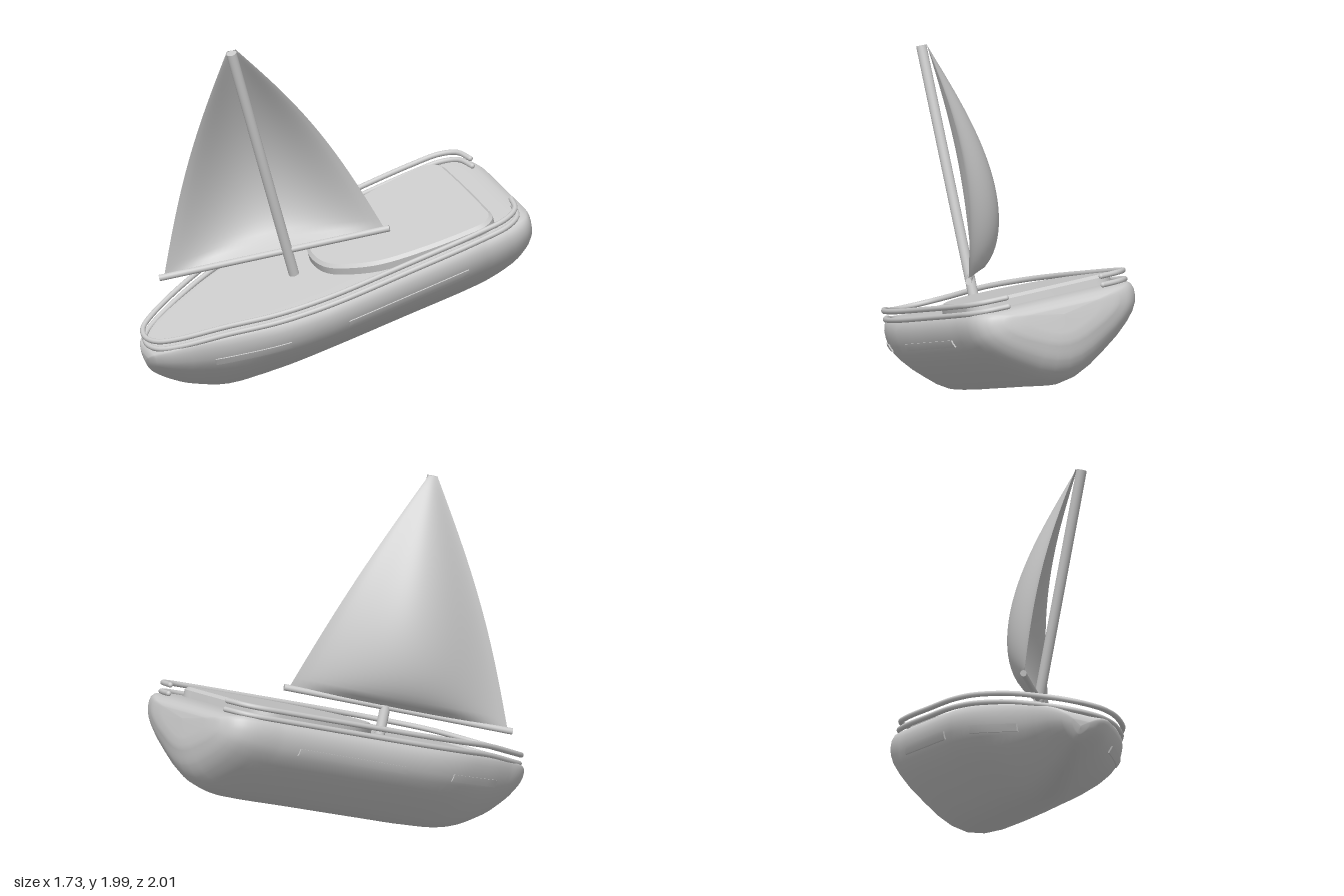
import * as THREE from 'three';
import { toCreasedNormals } from 'three/addons/utils/BufferGeometryUtils.js';

const V = (x, y, z) => new THREE.Vector3(x, y, z);
const grey = new THREE.MeshStandardMaterial({ color: 0xcccccc });
const thin = new THREE.MeshStandardMaterial({ color: 0xcccccc, side: THREE.DoubleSide });

function mesh(name, geometry, material = grey) {
  const m = new THREE.Mesh(geometry, material);
  m.name = name;
  return m;
}

// Hull stations from bow to stern: z, half width, keel height, deck height
const stations = [
  [0.962, 0, -0.125, -0.115], [0.955, 0.055, -0.165, -0.08], [0.93, 0.11, -0.21, -0.05],
  [0.86, 0.172, -0.28, -0.028], [0.76, 0.225, -0.355, -0.015], [0.55, 0.33, -0.45, -0.004],
  [0.28, 0.437, -0.475, 0], [0, 0.485, -0.48, 0], [-0.5, 0.497, -0.485, 0],
  [-0.95, 0.502, -0.488, 0], [-1.1, 0.5, -0.465, 0], [-1.19, 0.482, -0.42, -0.004],
  [-1.25, 0.44, -0.36, -0.016], [-1.285, 0.37, -0.29, -0.035], [-1.305, 0.25, -0.22, -0.06],
  [-1.31, 0, -0.11, -0.1],
];
// Half section: fraction of half width, fraction of depth below the deck
const section = [
  [0, 0], [0.5, 0], [0.88, 0], [0.94, 0.012], [0.98, 0.05], [1, 0.12], [1, 0.2], [0.98, 0.3],
  [0.93, 0.4], [0.84, 0.51], [0.7, 0.64], [0.52, 0.77], [0.34, 0.89], [0.17, 0.97], [0, 1],
];

// Smooth interpolation between stations (i is the span, t runs 0..1)
function blend(i, t) {
  const at = k => stations[Math.min(Math.max(k, 0), stations.length - 1)];
  const slope = (k, c) => {
    const a = at(k - 1), b = at(k + 1);
    return (b[c] - a[c]) / (b[0] - a[0]);
  };
  const a = at(i), b = at(i + 1), d = b[0] - a[0], t2 = t * t, t3 = t2 * t;
  const out = [a[0] + d * t];
  for (let c = 1; c < 4; c++) {
    out.push((2 * t3 - 3 * t2 + 1) * a[c] + (t3 - 2 * t2 + t) * d * slope(i, c)
      + (3 * t2 - 2 * t3) * b[c] + (t3 - t2) * d * slope(i + 1, c));
  }
  return out;
}

// Half width of the hull at a given z and height
function hullWidth(z, y) {
  let i = 0;
  while (i < stations.length - 2 && stations[i + 1][0] > z) i++;
  const [, w, k, top] = blend(i, (z - stations[i][0]) / (stations[i + 1][0] - stations[i][0]));
  const f = (top - y) / (top - k);
  let j = 0;
  while (j < section.length - 2 && section[j + 1][1] < f) j++;
  const [a, b] = [section[j], section[j + 1]];
  return w * THREE.MathUtils.lerp(a[0], b[0], (f - a[1]) / (b[1] - a[1]));
}

// Hull and deck as one closed skin of cross-sections
function hullGeometry() {
  const loop = [...section, ...section.slice(1, -1).reverse().map(([x, y]) => [-x, y])];
  const n = loop.length, pos = [], idx = [], steps = 4;
  const rows = [];
  for (let i = 0; i < stations.length - 1; i++)
    for (let k = 0; k < steps; k++) rows.push(blend(i, k / steps));
  rows.push(stations[stations.length - 1]);
  rows.forEach(([z, w, k, top], i) => {
    loop.forEach(([x, y]) => pos.push(x * w, top + (k - top) * y, z));
    if (i === rows.length - 1) return;
    for (let j = 0; j < n; j++) {
      const a = i * n + j, b = i * n + (j + 1) % n;
      idx.push(a, b, a + n, b, b + n, a + n);
    }
  });
  const g = new THREE.BufferGeometry();
  g.setAttribute('position', new THREE.Float32BufferAttribute(pos, 3));
  g.setIndex(idx);
  g.computeVertexNormals();
  return g;
}

// Window strip wrapped along the hull side
function windowGeometry(side, z0, z1) {
  const g = new THREE.BoxGeometry(0.018, 0.042, z1 - z0, 1, 2, 16);
  const p = g.attributes.position;
  for (let i = 0; i < p.count; i++) {
    const z = p.getZ(i) + (z0 + z1) / 2, y = p.getY(i) - 0.15;
    p.setXYZ(i, side * hullWidth(z, y) + p.getX(i), y, z);
  }
  return toCreasedNormals(g, 0.6);
}

// Round bar between two points
function bar(name, a, b, r) {
  const m = mesh(name, new THREE.CylinderGeometry(r, r, a.distanceTo(b), 20));
  m.position.copy(a).add(b).multiplyScalar(0.5);
  m.quaternion.setFromUnitVectors(V(0, 1, 0), b.clone().sub(a).normalize());
  return m;
}

// Guard rail running round the deck edge, dipping at the bow, open at the stern
function rail(name, y) {
  const half = [[0.29, -1.235], [0.41, -1.205], [0.47, -1.12], [0.488, -0.95], [0.486, -0.5],
    [0.472, -0.02], [0.42, 0.27], [0.305, 0.55], [0.18, 0.8], [0.1, 0.895]];
  const pts = [...half, [0, 0.925], ...half.slice().reverse().map(([x, z]) => [-x, z])]
    .map(([x, z]) => V(x, y - 0.085 * Math.max(0, z - 0.5), z));
  const g = new THREE.Group();
  g.name = name;
  g.add(mesh('railTube', new THREE.TubeGeometry(new THREE.CatmullRomCurve3(pts), 160, 0.015, 10)));
  for (const p of [pts[0], pts[pts.length - 1]]) {
    const cap = mesh('railEnd', new THREE.SphereGeometry(0.015, 10, 8));
    cap.position.copy(p);
    g.add(cap);
  }
  return g;
}

// Raised cabin roof with a rounded outline
function cabinGeometry() {
  const half = [[0.13, -0.165], [0.23, -0.25], [0.33, -0.4], [0.39, -0.65], [0.415, -0.9],
    [0.41, -1.01], [0.36, -1.065], [0.25, -1.075]];
  const pts = [[0, -0.14], ...half, ...half.slice().reverse().map(([x, z]) => [-x, z])];
  const curve = new THREE.CatmullRomCurve3(pts.map(([x, z]) => V(x, -z, 0)), true);
  const shape = new THREE.Shape(curve.getPoints(90).slice(0, -1).map(p => new THREE.Vector2(p.x, p.y)));
  const g = new THREE.ExtrudeGeometry(shape, {
    depth: 0.045, bevelThickness: 0.018, bevelSize: 0.018, bevelSegments: 1, curveSegments: 1 });
  g.rotateX(-Math.PI / 2).translate(0, -0.004, 0);
  return toCreasedNormals(g, 0.5);
}

// Wind-filled triangular sail between the boom ends and the mast head
function sailGeometry(a, b, head) {
  const g = new THREE.PlaneGeometry(1, 1, 32, 40), p = g.attributes.position;
  const along = b.clone().sub(a).setY(0).normalize();
  const out = V(along.z, 0, -along.x);
  for (let i = 0; i < p.count; i++) {
    const t = p.getX(i) + 0.5, v = p.getY(i) + 0.5, arc = Math.sin(Math.PI * v);
    const belly = 0.175 * Math.sin(Math.PI * t) ** 1.4 * Math.sin(Math.PI * Math.sqrt(v));
    const q = a.clone().lerp(b, t).lerp(head, v);
    q.addScaledVector(along, (t - 0.5) * (0.08 * arc + 0.05 * v));
    q.addScaledVector(out, arc * (0.04 + 0.05 * t) + belly + 0.03 * v);
    p.setXYZ(i, q.x, q.y, q.z);
  }
  g.computeVertexNormals();
  return g;
}

export function createModel() {
  const model = new THREE.Group();
  model.name = 'sailboat';

  // Boat frame: origin at the mast foot, heeled and pitched bow-down
  const boat = new THREE.Group();
  boat.name = 'boat';
  boat.quaternion.setFromRotationMatrix(new THREE.Matrix4().makeBasis(
    V(0.835, -0.085, 0.544), V(-0.095, 0.951, 0.295), V(-0.542, -0.298, 0.786)));
  boat.position.set(-0.22, 0.59, 0.23);
  model.add(boat);

  const body = new THREE.Group();
  body.name = 'body';
  body.position.x = 0.01;
  body.rotation.y = -0.03;
  body.add(mesh('hull', hullGeometry()), mesh('cabinRoof', cabinGeometry()));
  body.add(rail('lowerRail', 0.006), rail('upperRail', 0.055));
  for (const [side, label] of [[1, 'left'], [-1, 'right']]) {
    body.add(mesh(label + 'FrontWindow', windowGeometry(side, 0.25, 0.65)));
    body.add(mesh(label + 'RearWindow', windowGeometry(side, -0.83, -0.09)));
  }
  boat.add(body);

  // Rig
  const boomFront = V(-0.31, 0.153, 0.66), boomBack = V(0.24, 0.153, -0.53);
  boat.add(bar('mast', V(0, -0.01, 0), V(0, 1.46, 0), 0.029));
  boat.add(bar('boom', boomFront, boomBack, 0.018));
  const foot = t => boomFront.clone().lerp(boomBack, t);
  boat.add(mesh('sail', sailGeometry(foot(0.02), foot(0.98), V(0, 1.46, 0)), thin));
  return model;
}
